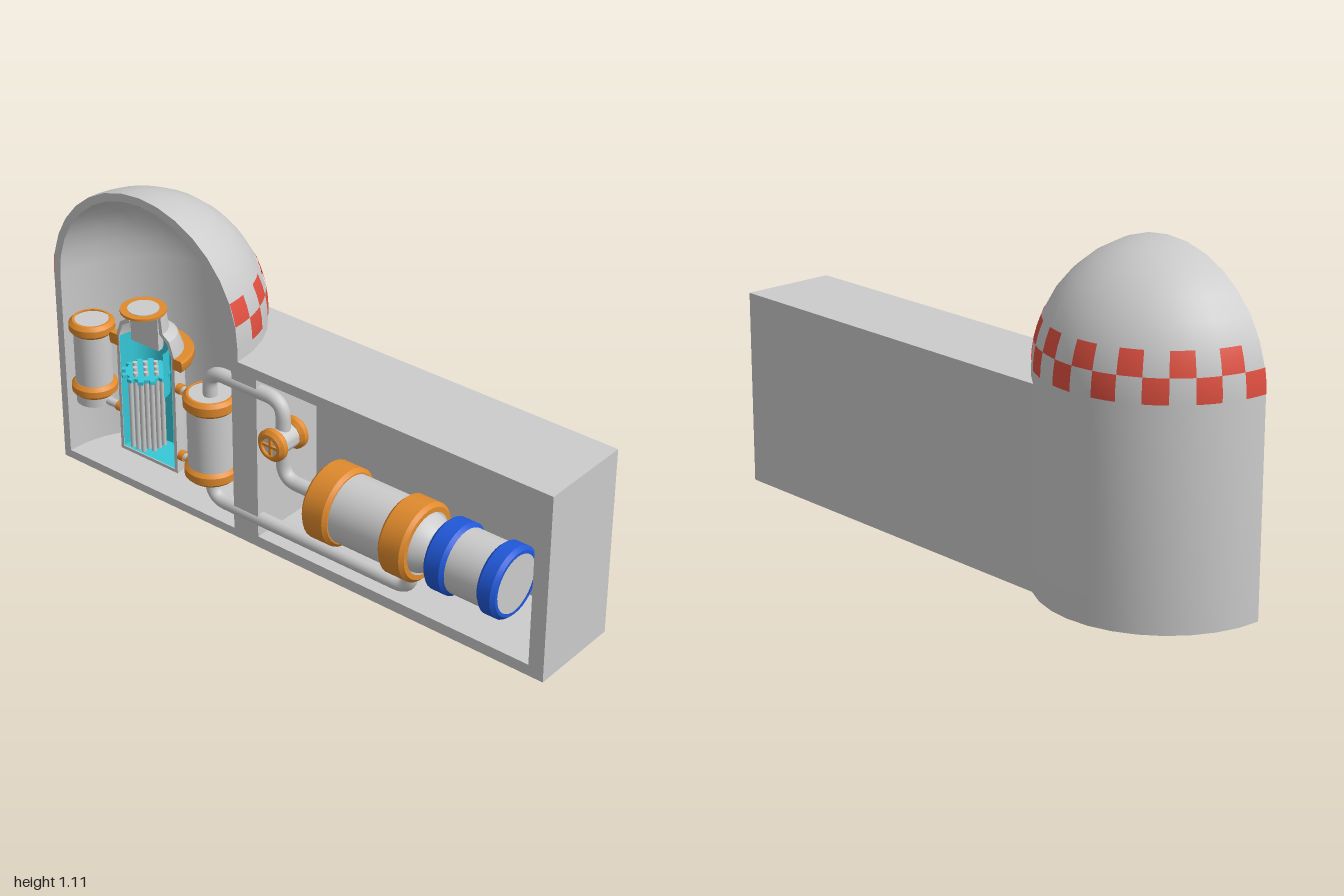
import * as THREE from 'three';
import { toCreasedNormals } from 'three/addons/utils/BufferGeometryUtils.js';

const mat = (color) => new THREE.MeshStandardMaterial({ color, side: THREE.DoubleSide });
const GREY = mat(0xcccccc), ORANGE = mat(0xe08a2c), BLUE = mat(0x2058d8), CYAN = mat(0x35c8d8), RED = mat(0xe05040);
const CUT = 0.142;   // z of the section plane
const AXIS = 0.125;  // z of the machinery axes
const RX = -0.6;     // x of the reactor axis
const V2 = (p) => new THREE.Vector2(p[0], p[1]);
const V3 = (p) => new THREE.Vector3(p[0], p[1], p[2] ?? AXIS);

function add(parent, name, geometry, material, x = 0, y = 0, z = 0) {
  const mesh = new THREE.Mesh(geometry, material);
  mesh.name = name;
  mesh.position.set(x, y, z);
  parent.add(mesh);
  return mesh;
}

const lathe = (pts, seg = 32, start = 0, sweep = Math.PI * 2) =>
  toCreasedNormals(new THREE.LatheGeometry(pts.map(V2), seg, start, sweep), 0.5);

// rear half of a turned solid with its flat cut faces; the profile is a closed outline
function halfSolid(parent, name, profile, material) {
  const g = new THREE.Group();
  g.name = name;
  g.position.set(RX, 0, CUT);
  add(g, name + 'Surface', lathe(profile, 16, Math.PI / 2, Math.PI), material);
  for (const s of [1, -1]) {
    const shape = new THREE.Shape(profile.map((p) => new THREE.Vector2(p[0] * s, p[1])));
    add(g, name + 'CutFace', new THREE.ShapeGeometry(shape), material);
  }
  parent.add(g);
}

// cylinder along y with chamfered bands, each band given as [from, to]
function drum(parent, name, r, from, to, bandR, bands, bandMat) {
  const g = new THREE.Group();
  g.name = name;
  add(g, name + 'Body', lathe([[0, from], [r, from], [r, to], [0, to]]), GREY);
  const c = 0.012;
  for (const [a, b] of bands) {
    add(g, name + 'Band', lathe([[r * 0.9, a], [bandR - c, a], [bandR, a + c],
      [bandR, b - c], [bandR - c, b], [r * 0.9, b]]), bandMat);
  }
  parent.add(g);
  return g;
}

// pipe through corner points with rounded bends
function pipe(parent, name, corners, r = 0.024, bend = 0.06) {
  const pts = corners.map(V3), path = new THREE.CurvePath();
  let last = pts[0];
  for (let i = 1; i < pts.length - 1; i++) {
    const toward = (q) => pts[i].clone().add(q.clone().sub(pts[i]).setLength(bend));
    const a = toward(pts[i - 1]), b = toward(pts[i + 1]);
    path.add(new THREE.LineCurve3(last, a));
    path.add(new THREE.QuadraticBezierCurve3(a, pts[i], b));
    last = b;
  }
  path.add(new THREE.LineCurve3(last, pts[pts.length - 1]));
  add(parent, name, new THREE.TubeGeometry(path, corners.length * 20, r, 14), GREY);
}

// short sideways cuff
function cuff(parent, x, y, r = 0.022) {
  add(parent, 'pipeCuff', new THREE.CylinderGeometry(r, r, 0.022, 16), ORANGE, x, y, AXIS).rotation.z = Math.PI / 2;
}

function buildContainment(root) {
  const arc = (r, i) => [r * Math.cos(i * Math.PI / 16), 0.71 + r * Math.sin(i * Math.PI / 16)];
  const profile = [[0, 0], [0.4, 0]];
  for (let i = 0; i <= 8; i++) profile.push(arc(0.4, i));
  for (let i = 8; i >= 0; i--) profile.push(arc(0.372, i));
  profile.push([0.372, 0.03], [0, 0.03]);
  halfSolid(root, 'containmentShell', profile, GREY);

  // two staggered rows of painted squares around the dome foot
  const step = Math.PI / 16;
  for (let i = 0; i < 16; i++) {
    const row = i % 2 ? 1 : 2;
    add(root, 'domeCheck', new THREE.SphereGeometry(0.4015, 2, 2, Math.PI + i * step, step,
      Math.PI / 2 - row * step, step), RED, RX, 0.71, CUT);
  }
}

function buildHall(root) {
  const back = 0.19, front = -CUT, r = 0.396;
  const plan = (hollow) => {
    const s = new THREE.Shape();
    s.absarc(RX, front, r, Math.asin((back - front) / r), 0, true);
    if (hollow) {
      for (const p of [[-0.125, front], [-0.125, 0.155], [0.945, 0.155], [0.945, front]]) s.lineTo(...p);
    }
    s.lineTo(1, front);
    s.lineTo(1, back);
    s.closePath();
    return s;
  };
  const slab = (name, from, to, hollow) => {
    const g = new THREE.ExtrudeGeometry(plan(hollow), { depth: to - from, bevelEnabled: false, curveSegments: 12 });
    add(root, name, g.rotateX(-Math.PI / 2), GREY, 0, from, 0);
  };
  slab('hallFloor', 0, 0.04, false);
  slab('hallWalls', 0.04, 0.63, true);
  slab('hallRoof', 0.63, 0.667, false);
}

function buildReactor(root) {
  const g = new THREE.Group();
  g.name = 'reactor';
  root.add(g);
  // cut-open pressure vessel with sloped shoulder and neck
  halfSolid(g, 'reactorVessel', [[0, 0.14], [0.127, 0.14], [0.127, 0.575], [0.108, 0.63], [0.08, 0.65], [0.073, 0.71],
    [0.062, 0.71], [0.066, 0.645], [0.098, 0.62], [0.115, 0.575], [0.115, 0.152], [0, 0.152]], GREY);
  add(g, 'coolant', lathe([[0, 0.155], [0.113, 0.155], [0.113, 0.575]], 16, Math.PI / 2, Math.PI), CYAN, RX, 0, CUT);
  add(g, 'coreBarrel', lathe([[0.078, 0.41], [0.078, 0.575]], 16, Math.PI / 2, Math.PI), CYAN, RX, 0, CUT);
  halfSolid(g, 'vesselFlange', [[0.12, 0.535], [0.155, 0.535], [0.16, 0.545], [0.16, 0.568], [0.155, 0.575], [0.12, 0.575]], ORANGE);
  halfSolid(g, 'neckLining', [[0, 0.58], [0.06, 0.58], [0.06, 0.71], [0, 0.71]], GREY);
  // lid
  add(g, 'lidRim', new THREE.CylinderGeometry(0.076, 0.076, 0.008, 32), ORANGE, RX, 0.714, CUT);
  add(g, 'lidCentre', new THREE.CylinderGeometry(0.052, 0.052, 0.008, 32), GREY, RX, 0.716, CUT);
  // fuel rods held by a notched plate
  for (let i = -2; i <= 2; i++) {
    for (let j = -2; j <= 2; j++) {
      if (Math.abs(i) + Math.abs(j) > 3) continue;
      const tall = (i + j) % 2 === 0;
      const top = tall ? 0.5 : 0.47;
      add(g, 'fuelRod', new THREE.CylinderGeometry(0.008, 0.008, top - 0.21, 10), GREY,
        RX + i * 0.024, (top + 0.21) / 2, CUT + j * 0.024);
    }
  }
  add(g, 'rodPlate', new THREE.CylinderGeometry(0.066, 0.066, 0.012, 24), CYAN, RX, 0.482, CUT);
  for (let i = 0; i < 12; i++) {
    const a = i * Math.PI / 6;
    add(g, 'plateTooth', new THREE.BoxGeometry(0.018, 0.012, 0.02), CYAN,
      RX + 0.07 * Math.sin(a), 0.482, CUT + 0.07 * Math.cos(a)).rotation.y = a;
  }
}

function buildValve(root) {
  const g = drum(root, 'valve', 0.042, -0.05, 0.055, 0.055, [[-0.07, -0.03], [0.03, 0.07]], ORANGE);
  g.position.set(-0.03, 0.445, AXIS);
  g.rotation.x = Math.PI / 2;
  // hand wheel
  add(g, 'valveWheel', new THREE.TorusGeometry(0.036, 0.006, 8, 28).rotateX(Math.PI / 2), ORANGE, 0, 0.065, 0);
  for (const a of [0, Math.PI / 2]) {
    add(g, 'wheelSpoke', new THREE.BoxGeometry(0.072, 0.008, 0.009), ORANGE, 0, 0.062, 0).rotation.y = a;
  }
}

export function createModel() {
  const root = new THREE.Group();
  root.name = 'powerPlantCutaway';
  buildContainment(root);
  buildHall(root);
  buildReactor(root);
  buildValve(root);

  // upright vessels beside the reactor
  drum(root, 'pressurizer', 0.063, 0.275, 0.575, 0.077, [[0.307, 0.353], [0.537, 0.583]], ORANGE).position.set(-0.855, 0, AXIS);
  drum(root, 'steamGenerator', 0.078, 0.195, 0.49, 0.09, [[0.185, 0.235], [0.445, 0.498]], ORANGE).position.set(-0.335, 0, AXIS);

  // turbine and generator lie along x
  const train = new THREE.Group();
  train.name = 'turbineTrain';
  train.position.set(0, 0.297, AXIS);
  train.rotation.z = -Math.PI / 2;
  root.add(train);
  drum(train, 'turbine', 0.115, 0.155, 0.535, 0.132, [[0.145, 0.245], [0.445, 0.545]], ORANGE);
  add(train, 'turbineNose', lathe([[0.1, 0.53], [0.095, 0.55], [0.07, 0.585], [0, 0.585]]), GREY);
  add(train, 'driveShaft', new THREE.CylinderGeometry(0.04, 0.04, 0.08, 24), GREY, 0, 0.6, 0);
  drum(train, 'generator', 0.108, 0.617, 0.868, 0.12, [[0.61, 0.687], [0.808, 0.876]], BLUE);

  // steam and return lines
  pipe(root, 'steamPipe', [[-0.335, 0.48], [-0.335, 0.58], [-0.03, 0.58], [-0.03, 0.297], [0.16, 0.297]]);
  pipe(root, 'returnPipe', [[0.485, 0.2], [0.485, 0.1], [-0.335, 0.1], [-0.335, 0.2]]);
  // short lines at the reactor
  pipe(root, 'surgePipe', [[-0.855, 0.29], [-0.72, 0.29]], 0.014);
  pipe(root, 'hotLeg', [[-0.485, 0.46], [-0.4, 0.46]], 0.014);
  pipe(root, 'coldLeg', [[-0.485, 0.205], [-0.4, 0.205]], 0.014);
  for (const [x, y] of [[-0.737, 0.29], [-0.463, 0.46], [-0.425, 0.46], [-0.463, 0.205], [-0.425, 0.205]]) cuff(root, x, y, 0.018);
  return root;
}
